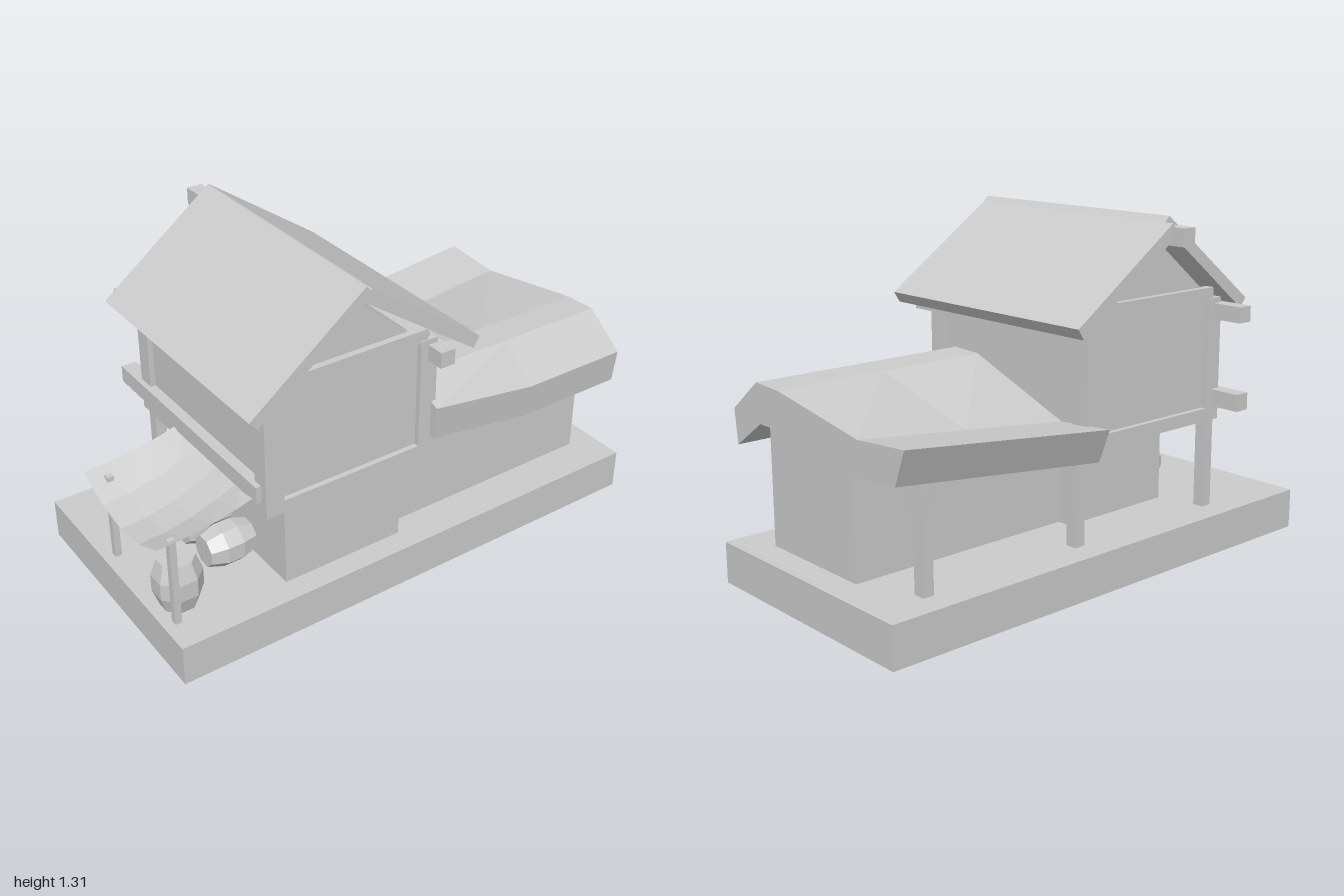
import * as THREE from 'three';

const material = new THREE.MeshStandardMaterial({ color: 0xcccccc, flatShading: true });
const sheetMaterial = new THREE.MeshStandardMaterial({ color: 0xcccccc, flatShading: true, side: THREE.DoubleSide });

export function createModel() {
  const model = new THREE.Group();

  const add = (name, geometry, mat = material) => {
    const mesh = new THREE.Mesh(geometry, mat);
    mesh.name = name;
    model.add(mesh);
    return mesh;
  };
  // Box given by its lower and upper limits on each axis
  const box = (name, x0, x1, y0, y1, z0, z1) => {
    const g = new THREE.BoxGeometry(x1 - x0, y1 - y0, z1 - z0);
    g.translate((x0 + x1) / 2, (y0 + y1) / 2, (z0 + z1) / 2);
    return add(name, g);
  };
  // Outline in x and y, drawn out along z
  const prism = (name, points, z0, z1) => {
    const shape = new THREE.Shape(points.map(([x, y]) => new THREE.Vector2(x, y)));
    const g = new THREE.ExtrudeGeometry(shape, { depth: z1 - z0, bevelEnabled: false });
    g.translate(0, 0, z0);
    return add(name, g);
  };

  // Ground floor
  box('basePlatform', -0.985, 1, 0.01, 0.165, -0.5, 0.49);
  box('hallWalls', -0.3, 0.89, 0, 0.6, -0.155, 0.335);
  box('groundFloorRoom', -0.52, -0.03, 0.16, 0.515, -0.21, 0.4);
  for (const x of [0.52, 0.64]) box('backWindow', x - 0.04, x + 0.04, 0.36, 0.46, -0.163, -0.15);

  // Posts along the back
  for (const [x, top] of [[0.78, 0.58], [0.1, 0.52], [-0.583, 0.52]]) {
    box('backPost', x - 0.022, x + 0.022, 0.16, top, -0.4, -0.355);
  }

  // Upper room: recessed walls inside a timber frame
  box('upperWalls', -0.6, 0.06, 0.52, 1.0, -0.39, 0.43);
  for (const [x0, x1] of [[-0.62, -0.55], [0.01, 0.08]]) {
    for (const [z0, z1] of [[-0.41, -0.34], [0.38, 0.45]]) {
      box('cornerPost', x0, x1, 0.51, 0.98, z0, z1);
    }
  }
  box('floorFrame', -0.62, 0.08, 0.51, 0.56, -0.41, 0.45);
  for (const [z0, z1] of [[-0.405, -0.37], [0.41, 0.445]]) {
    box('tieBeam', -0.58, 0.04, 0.97, 1.02, z0, z1);
  }
  prism('gableWalls', [[-0.56, 1.0], [0.0, 1.0], [-0.28, 1.225]], -0.38, 0.42);

  // Beams running front to back with projecting ends
  box('leftUpperBeam', -0.64, -0.58, 0.9, 0.96, -0.535, 0.42);
  box('leftLowerBeam', -0.64, -0.58, 0.565, 0.63, -0.535, 0.42);
  box('rightUpperBeam', 0.04, 0.1, 0.9, 0.96, -0.425, 0.52);
  box('ridgeBeam', -0.315, -0.255, 1.21, 1.275, -0.535, 0.44);

  // Pitched roof
  prism('leftRoofSlab', [[-0.28, 1.31], [-0.72, 0.97], [-0.69, 0.935], [-0.25, 1.28]], -0.445, 0.53);
  prism('rightRoofSlab', [[-0.28, 1.25], [0.18, 0.935], [0.205, 0.975], [-0.25, 1.29]], -0.49, 0.52);

  add('hallRoof', hallRoofGeometry());

  // Sagging cloth awning on two posts
  const cloth = new THREE.PlaneGeometry(0.4, 0.53, 4, 4);
  cloth.rotateX(-Math.PI / 2);
  cloth.translate(-0.8, 0, 0.13);
  const p = cloth.attributes.position;
  for (let i = 0; i < p.count; i++) {
    const t = (p.getX(i) + 1) / 0.4;
    const s = (p.getZ(i) - 0.13) / 0.265;
    const edge = 0.52 + 0.065 * t * t;
    const sag = (0.08 - 0.05 * t * t) * (1 - s * s);
    p.setY(i, edge - sag);
  }
  add('awning', cloth, sheetMaterial);
  for (const z of [-0.08, 0.36]) box('awningPost', -0.945, -0.92, 0.16, 0.51, z - 0.013, z + 0.013);

  // Barrels: one standing, three stacked on their sides
  const barrel = (name, radius, height, x, y, z, lying) => {
    const profile = [[0, -0.5], [0.75, -0.5], [1, -0.17], [1, 0.17], [0.75, 0.5], [0, 0.5]]
      .map(([r, h]) => new THREE.Vector2(r * radius, h * height));
    const g = new THREE.LatheGeometry(profile, 8, Math.PI / 8);
    if (lying) g.rotateZ(Math.PI / 2);
    add(name, g).position.set(x, y, z);
  };
  barrel('standingBarrel', 0.09, 0.195, -0.875, 0.2625, 0.27, false);
  for (const [y, z] of [[0.24, 0.01], [0.24, 0.17], [0.37, 0.09]]) {
    barrel('lyingBarrel', 0.08, 0.185, -0.622, y, z, true);
  }
  return model;
}

// Curved hall roof: closed cross-sections in z and y, warped along x
function hallRoofGeometry() {
  const outer = [[0.485, 0.65], [0.33, 0.77], [0.2, 0.765], [-0.26, 0.69], [-0.5, 0.708],
    [-0.45, 0.58], [-0.21, 0.56], [0.25, 0.625], [0.315, 0.625], [0.47, 0.52]];
  const n = outer.length;
  const sections = [[0.06, 1, 1], [0.5, 0, 0.5], [0.94, 0, 0]];
  const positions = [];
  for (const [x, rise, drop] of sections) {
    outer.forEach(([z, y], i) => {
      const front = i === 0 || i === n - 1;
      const back = i >= 3 && i <= 6;
      positions.push(x, y + (front ? 0.065 * rise : 0) - (back ? 0.1 * drop : 0), z);
    });
  }
  const index = [];
  const quad = (a, b, c, d) => index.push(a, b, c, a, c, d);
  for (let s = 0; s < sections.length - 1; s++) {
    for (let i = 0; i < n; i++) {
      const j = (i + 1) % n;
      quad(s * n + i, (s + 1) * n + i, (s + 1) * n + j, s * n + j);
    }
  }
  // End caps
  const e = (sections.length - 1) * n;
  for (let i = 0; i < n / 2 - 1; i++) {
    quad(e + i, e + n - 1 - i, e + n - 2 - i, e + i + 1);
    quad(i, i + 1, n - 2 - i, n - 1 - i);
  }
  const g = new THREE.BufferGeometry();
  g.setAttribute('position', new THREE.Float32BufferAttribute(positions, 3));
  g.setIndex(index);
  const flat = g.toNonIndexed();
  flat.computeVertexNormals();
  return flat;
}
